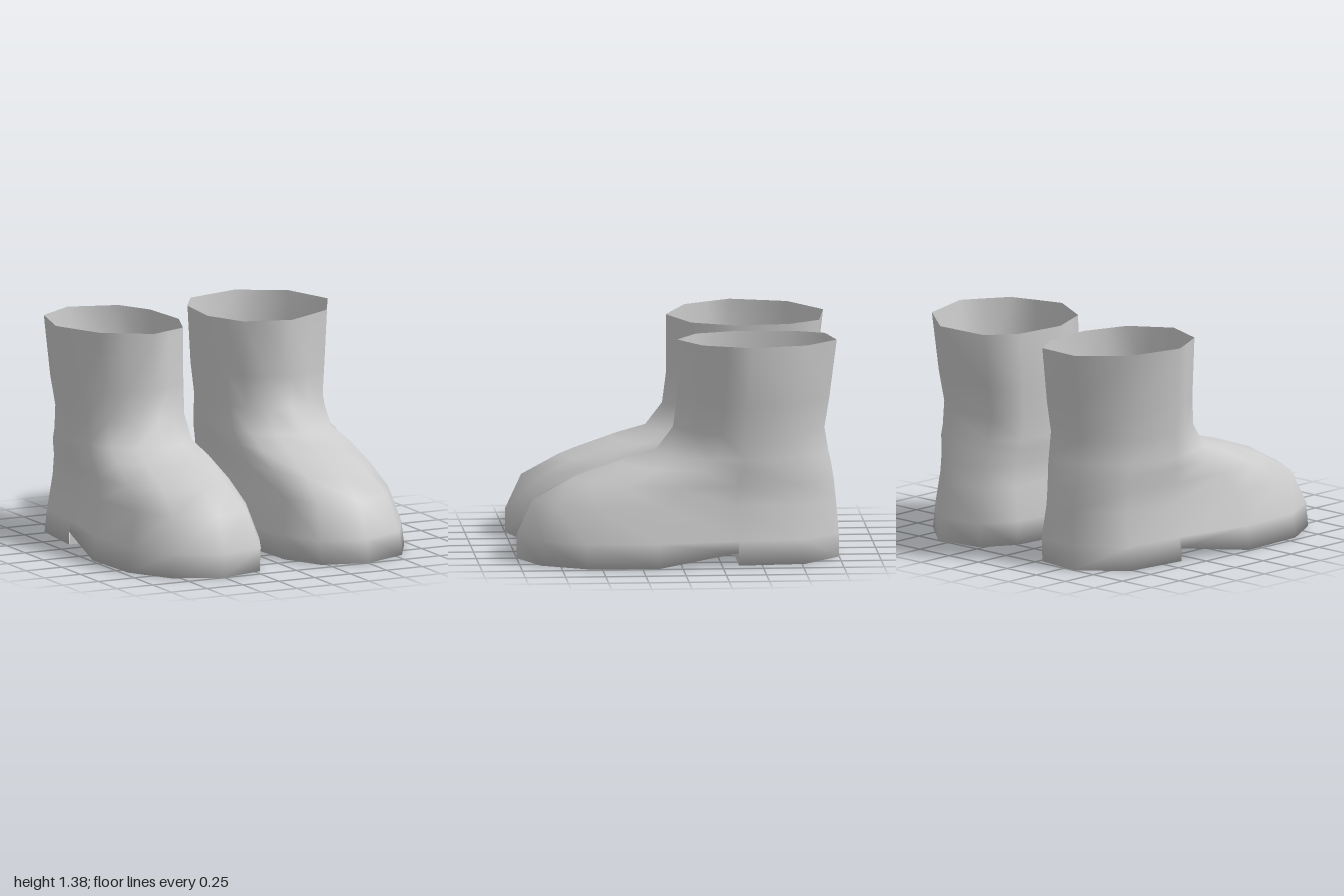
import * as THREE from 'three';
import { mergeVertices } from 'three/addons/utils/BufferGeometryUtils.js';

// Plan outlines [x, z] of the left boot, from the front round by the outer side.
// The two heel corners appear twice so that the sole can step there.
const RIM = [[.48, .01], [.64, -.06], [.79, -.13], [.87, -.28], [.945, -.43], [.945, -.43], [.85, -.79], [.58, -1],
  [.25, -.95], [.13, -.75], [.10, -.41], [.10, -.41], [.155, -.27], [.21, -.13], [.345, -.06]];
const SOLE = [[.50, 1], [.80, .87], [.96, .59], [.985, .15], [.89, -.355], [.89, -.355], [.85, -.77], [.58, -1],
  [.27, -.96], [.14, -.75], [.11, -.355], [.11, -.355], [.06, .25], [.085, .66], [.21, .92]];
const N = RIM.length;

// Levels: height, blend from rim to sole outline, inner x, outer x, back z, front z
const LEVELS = [
  [1.36, 0, .10, .945, -.985, 0],
  [1.0, 0, .105, .915, -.94, .0],
  [.81, .03, .12, .885, -.91, .025],
  [.66, .14, .125, .877, -.935, .14],
  [.595, .37, .13, .875, -.95, .37],
  [.49, .67, .135, .88, -.967, .67],
  [.365, .9, .115, .91, -.98, .9],
  [.15, 1, .06, .965, -.998, 1],
  [0, 1, .065, .985, -1, 1],
];

// One ring: blended outline fitted to the level's bounds
function ring([y, w, xIn, xOut, zBack, zFront], row) {
  const pts = RIM.map(([x, z], j) => [
    THREE.MathUtils.lerp(x, SOLE[j][0], w), THREE.MathUtils.lerp(z, SOLE[j][1], w)]);
  const fit = (k, lo, hi) => {
    const v = pts.map(p => p[k]);
    const a = Math.min(...v), b = Math.max(...v);
    return v.map(t => THREE.MathUtils.mapLinear(t, a, b, lo, hi));
  };
  const xs = fit(0, xIn, xOut), zs = fit(1, zBack, zFront);
  return xs.map((x, j) => {
    let h = y;
    if (row === 0) h += (x - .5) * .035;                                // sloping rim
    if (row === LEVELS.length - 1 && (j === 4 || j === 11)) h = .08;    // arch before the heel
    return [x, h, zs[j]];
  });
}

function geometry(points, index, side) {
  const g = new THREE.BufferGeometry();
  g.setAttribute('position', new THREE.Float32BufferAttribute(points.flatMap(([x, y, z]) => [x * side, y, z]), 3));
  g.setIndex(side > 0 ? index : index.slice().reverse());
  const merged = mergeVertices(g, 1e-5);
  merged.computeVertexNormals();
  return merged;
}

function makeBoot(side, material) {
  const rings = LEVELS.map(ring);
  const points = rings.flat();
  const index = [];

  // Shaft and foot walls
  for (let i = 0; i < rings.length - 1; i++) {
    for (let j = 0; j < N; j++) {
      const a = i * N + j, b = i * N + (j + 1) % N;
      index.push(a, a + N, b + N, a, b + N, b);
    }
  }

  // Underside: strips across the foot, leaving out the heel step
  const base = (rings.length - 1) * N;
  const strip = k => {
    const [a, b, c, d] = [k, k + 1, N - k - 1, N - k].map(v => v + base);
    return [a, d, c, a, c, b];
  };
  index.push(base, base + N - 1, base + 1);
  for (const k of [1, 2, 3, 5, 6]) index.push(...strip(k));

  const upper = new THREE.Mesh(geometry(points, index, side), material);
  upper.name = 'bootUpperAndSole';

  // Upright front of the heel, with hard edges
  const sole = rings[rings.length - 1];
  const heel = new THREE.Mesh(
    geometry([sole[4], sole[11], sole[10], sole[5]], [0, 1, 2, 0, 2, 3], side), material);
  heel.name = 'heelFront';

  const boot = new THREE.Group();
  boot.name = side > 0 ? 'leftBoot' : 'rightBoot';
  boot.add(upper, heel);
  return boot;
}

export function createModel() {
  const material = new THREE.MeshStandardMaterial({ color: 0xcccccc, side: THREE.DoubleSide });
  const model = new THREE.Group();
  model.name = 'pairOfBoots';
  for (const side of [1, -1]) model.add(makeBoot(side, material));
  return model;
}
